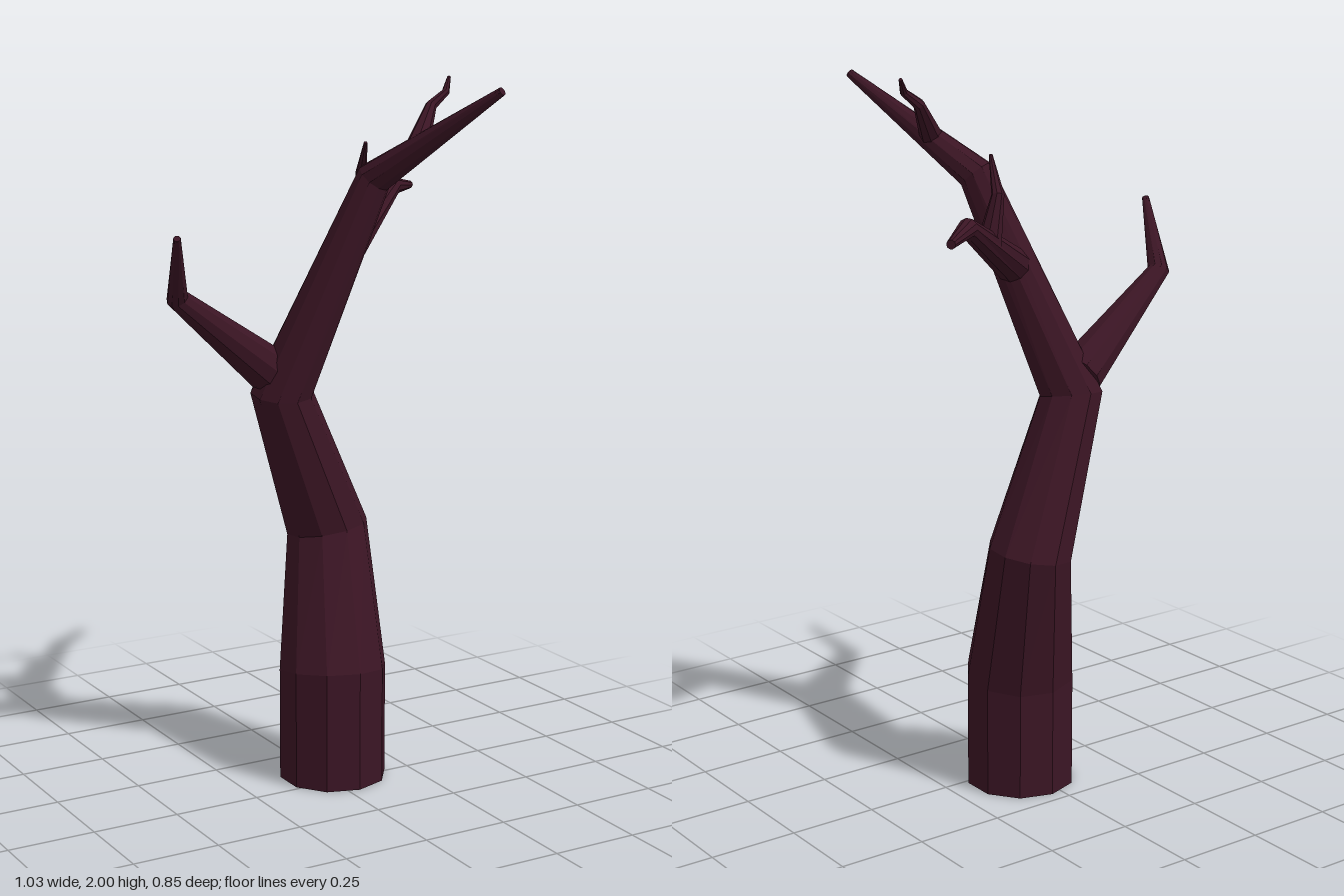
import * as THREE from 'three';

const bark = new THREE.MeshStandardMaterial({ color: 0x3b1524, flatShading: true });

// Faceted, tapering limb through nodes [x, y, z, radius]; each ring is mitred between its two segments.
function limb(name, nodes, sides = 10, startDir = null) {
  const pts = nodes.map(n => new THREE.Vector3(n[0], n[1], n[2]));
  const last = pts.length - 1;
  const dir = i => pts[i + 1].clone().sub(pts[i]).normalize();
  const pos = [], idx = [];
  pts.forEach((p, i) => {
    const t = i === 0 ? (startDir || dir(0)) : i === last ? dir(i - 1) : dir(i - 1).add(dir(i)).normalize();
    const u = new THREE.Vector3(0, 0, 1).addScaledVector(t, -t.z).normalize();
    const v = new THREE.Vector3().crossVectors(t, u);
    for (let j = 0; j < sides; j++) {
      const a = (j / sides) * Math.PI * 2;
      const q = p.clone().addScaledVector(u, Math.cos(a) * nodes[i][3]).addScaledVector(v, Math.sin(a) * nodes[i][3]);
      pos.push(q.x, q.y, q.z);
    }
  });
  for (let i = 0; i < last; i++) {
    for (let j = 0; j < sides; j++) {
      const a = i * sides + j, b = i * sides + (j + 1) % sides;
      idx.push(a, b, b + sides, a, b + sides, a + sides);
    }
  }
  // end caps
  const top = last * sides;
  for (let j = 1; j < sides - 1; j++) {
    idx.push(0, j + 1, j);
    idx.push(top, top + j, top + j + 1);
  }
  const geo = new THREE.BufferGeometry();
  geo.setAttribute('position', new THREE.Float32BufferAttribute(pos, 3));
  geo.setIndex(idx);
  const flat = geo.toNonIndexed();
  flat.computeVertexNormals();
  const mesh = new THREE.Mesh(flat, bark);
  mesh.name = name;
  return mesh;
}

export function createModel() {
  const tree = new THREE.Group();
  tree.name = 'bareTree';

  // crooked trunk, running on into the leading branch
  tree.add(limb('trunk', [
    [0.033, 0, -0.06, 0.155],
    [0.033, 0.325, -0.06, 0.155],
    [0.073, 0.715, -0.162, 0.118],
    [-0.093, 1.13, -0.125, 0.09],
    [0.105, 1.733, 0.042, 0.05],
    [0.265, 1.98, 0.415, 0.012],
  ], 10, new THREE.Vector3(0, 1, 0)));

  // lower branch on the right
  tree.add(limb('rightBranch', [
    [-0.115, 1.185, -0.135, 0.068],
    [-0.435, 1.428, -0.082, 0.031],
    [-0.505, 1.608, 0.065, 0.01],
  ]));

  // upper branch reaching back on the left
  tree.add(limb('leftBranch', [
    [0.045, 1.49, -0.045, 0.05],
    [0.383, 1.665, -0.315, 0.026],
    [0.508, 1.653, -0.423, 0.012],
  ]));

  // small twigs
  tree.add(limb('leftTwig', [
    [0.237, 1.585, -0.2, 0.034],
    [0.212, 1.72, -0.207, 0.017],
    [0.185, 1.812, -0.138, 0.005],
  ], 8));
  tree.add(limb('topTwig', [
    [0.165, 1.825, 0.165, 0.032],
    [0.255, 1.925, 0.09, 0.016],
    [0.303, 1.96, 0.088, 0.011],
    [0.334, 1.998, 0.056, 0.005],
  ], 8));

  return tree;
}
